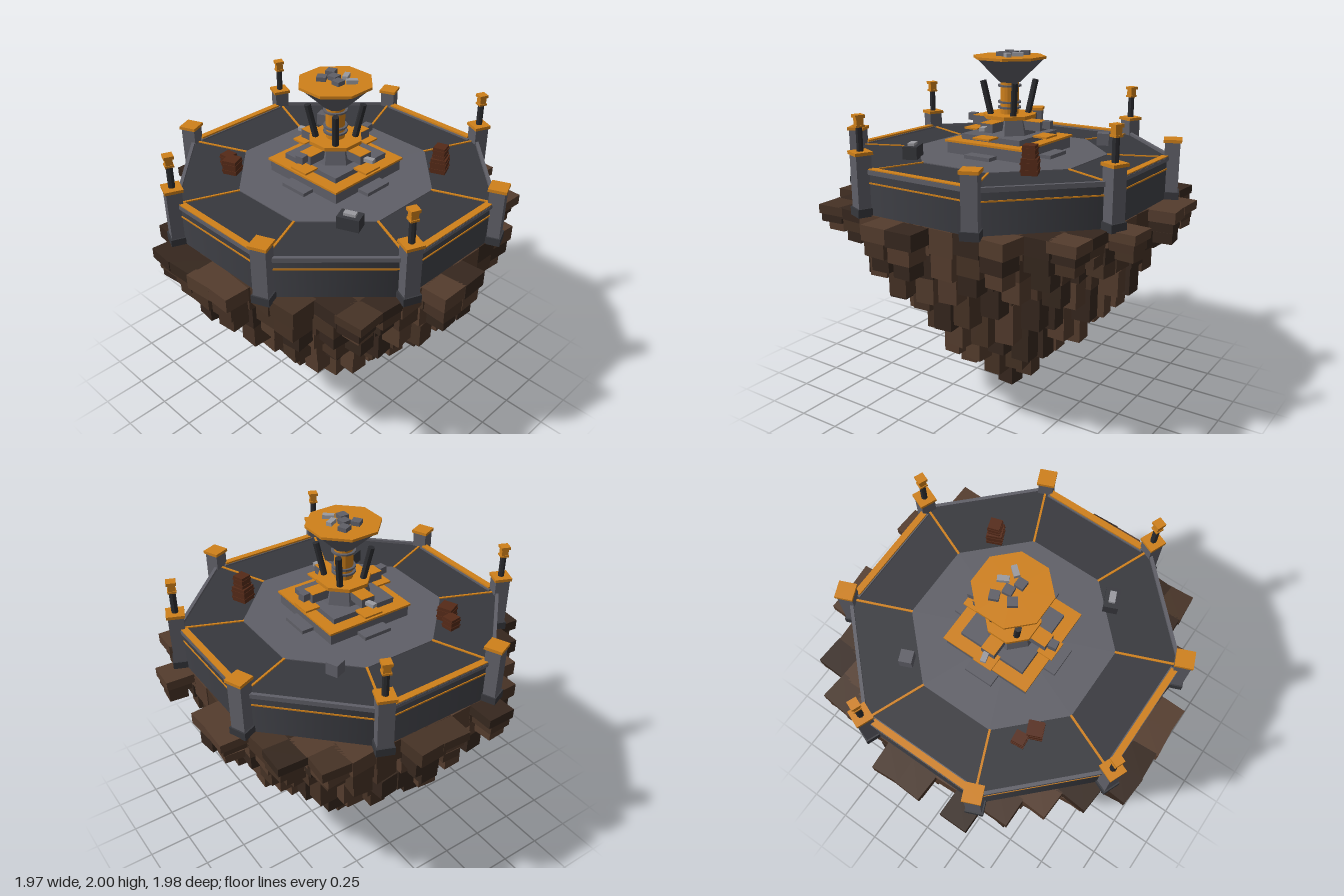
import * as THREE from 'three';

const mat = (color, flatShading = true) => new THREE.MeshStandardMaterial({ color, flatShading });
const gold = mat(0xcf801a), grey = mat(0x5f5f67), dark = mat(0x37383d), iron = mat(0x2a2b2f);
const light = mat(0x9a9aa0), crateRed = mat(0x552a18), wallMat = mat(0x3f4046, false);
const browns = [mat(0x543c2d), mat(0x36271e), mat(0x463225)];

function add(parent, name, geometry, material, x = 0, y = 0, z = 0, ry = 0) {
  const m = new THREE.Mesh(geometry, material);
  m.name = name;
  m.position.set(x, y, z);
  m.rotation.y = ry;
  parent.add(m);
  return m;
}

// Box standing between heights y0 and y1
const box = (p, name, m, w, d, y0, y1, x = 0, z = 0, ry = 0) =>
  add(p, name, new THREE.BoxGeometry(w, y1 - y0, d), m, x, (y0 + y1) / 2, z, ry);

// Octagonal prism with flat sides facing the axes
const octagon = (p, name, m, rTop, rBottom, y0, y1) =>
  add(p, name, new THREE.CylinderGeometry(rTop, rBottom, y1 - y0, 8), m, 0, (y0 + y1) / 2, 0, Math.PI / 8);

function subgroup(parent, name, ry = 0) {
  const g = new THREE.Group();
  g.name = name;
  g.rotation.y = ry;
  parent.add(g);
  return g;
}

function seeded(seed) {
  return () => {
    seed = (seed * 16807) % 2147483647;
    return seed / 2147483647;
  };
}

// Hanging rock made of stacked blocks on a grid, longest in the middle
function buildRock(root) {
  const rock = subgroup(root, 'rock');
  const rand = seeded(4711);
  const step = 0.15;
  const rim = ['-2,-6', '-1,-6', '2,-6', '-2,6', '-1,6', '0,6', '1,6', '6,0', '6,1',
    '-6,-1', '-6,0', '-6,2', '4,-5', '5,4', '-4,-5', '-5,-4'];
  const widths = [0.163, 0.135, 0.106];
  const cuts = [0, 0.34, 0.67, 1];
  for (let i = -6; i <= 6; i++) {
    for (let k = -6; k <= 6; k++) {
      const r = Math.hypot(i, k) * step;
      if (r > 0.88 && !rim.includes(`${i},${k}`)) continue;
      const x = i * step, z = k * step;
      const jitter = r === 0 ? 0 : (rand() - 0.5) * 0.12;
      const bottom = r === 0 ? 0 : Math.min(1.08, Math.max(0.06, 1.16 * r ** 1.2 + jitter));
      const depth = 1.22 - bottom;
      for (let s = 0; s < widths.length; s++) {
        const wobble = s ? 0.03 : 0.008;
        box(rock, 'rockBlock', browns[Math.floor(rand() * 3)], widths[s], widths[s],
          1.22 - cuts[s + 1] * depth, 1.22 - cuts[s] * depth,
          x + (rand() - 0.5) * wobble, z + (rand() - 0.5) * wobble, (rand() - 0.5) * (s ? 0.25 : 0.18));
      }
    }
  }
}

// Octagonal platform with parapet, trim, floor lines and rails
function buildPlatform(root) {
  const g = subgroup(root, 'platform');
  octagon(g, 'wall', wallMat, 0.895, 0.895, 1.21, 1.436);
  octagon(g, 'wallTrim', gold, 0.9, 0.9, 1.386, 1.394);
  const profile = [[0.89, 1.435], [0.905, 1.435], [0.905, 1.46], [0.885, 1.46], [0.885, 1.435]]
    .map(([r, y]) => new THREE.Vector2(r, y));
  add(g, 'parapet', new THREE.LatheGeometry(profile, 8), grey, 0, 0, 0, Math.PI / 8);
  octagon(g, 'outerFloor', dark, 0.89, 0.89, 1.43, 1.445);
  octagon(g, 'innerFloor', grey, 0.555, 0.555, 1.44, 1.45);
  for (let k = 0; k < 8; k++) {
    const spoke = subgroup(g, 'spoke', -(k + 0.5) * Math.PI / 4);
    box(spoke, 'floorLine', gold, 0.33, 0.012, 1.44, 1.451, 0.715);
  }
  for (let k = 0; k < 4; k++) {
    const side = subgroup(g, 'railSide', k * Math.PI / 2);
    box(side, 'railBase', grey, 0.045, 0.62, 1.44, 1.455, 0.815);
    box(side, 'rail', gold, 0.036, 0.6, 1.455, 1.465, 0.817);
  }
}

// Corner pillars, every second one with a lantern
function buildPillars(root) {
  for (let k = 0; k < 8; k++) {
    const corner = subgroup(root, 'pillar', -(k + 0.5) * Math.PI / 4);
    const R = 0.905;
    box(corner, 'pillarFoot', dark, 0.098, 0.098, 1.215, 1.26, R);
    box(corner, 'pillarShaft', grey, 0.082, 0.082, 1.26, 1.535, R);
    box(corner, 'pillarCap', gold, 0.098, 0.098, 1.535, 1.552, R);
    if (k % 2) continue;
    const post = new THREE.CylinderGeometry(0.018, 0.018, 0.13, 8);
    add(corner, 'lanternPost', post, iron, R, 1.615, 0);
    box(corner, 'lanternBase', gold, 0.046, 0.046, 1.675, 1.686, R);
    box(corner, 'lanternBody', gold, 0.038, 0.038, 1.686, 1.722, R);
    box(corner, 'lanternRoof', gold, 0.052, 0.052, 1.722, 1.738, R);
  }
}

// Central machine: plinth, consoles, column, struts and funnel
function buildMachine(root) {
  const g = subgroup(root, 'machine');
  box(g, 'lowerPlinth', grey, 0.5, 0.5, 1.44, 1.514);
  box(g, 'upperPlinth', grey, 0.385, 0.385, 1.51, 1.555);
  for (let k = 0; k < 4; k++) {
    const side = subgroup(g, 'machineSide', k * Math.PI / 2);
    box(side, 'step', grey, 0.1, 0.165, 1.445, 1.47, 0.27);
    box(side, 'plinthFrame', gold, 0.07, 0.45, 1.514, 1.525, 0.225, -0.035);
    box(side, 'bracketPlate', gold, 0.09, 0.11, 1.551, 1.561, 0.233);
    box(side, 'console', grey, 0.125, 0.08, 1.585, 1.633, 0.162);
    box(side, 'consoleTop', gold, 0.125, 0.08, 1.633, 1.636, 0.162);
    // Panels on the left and right, square lumps at the front and back
    if (k % 2) box(side, 'consoleBlock', grey, 0.045, 0.045, 1.6, 1.64, 0.25, 0, 0.15);
    else box(side, 'consolePanel', light, 0.055, 0.03, 1.6, 1.62, 0.25, 0, 0.25);
    // Leaning strut on the diagonal
    const diagonal = subgroup(g, 'strutMount', Math.PI / 4 + k * Math.PI / 2);
    const strut = new THREE.CylinderGeometry(0.018, 0.018, 0.19, 8);
    add(diagonal, 'strut', strut, iron, 0.127, 1.752, 0).rotation.z = -0.22;
  }
  octagon(g, 'pedestal', grey, 0.125, 0.15, 1.55, 1.64);
  octagon(g, 'pedestalTrim', gold, 0.15, 0.15, 1.64, 1.66);
  const cylinder = (name, m, r, y0, y1) =>
    add(g, name, new THREE.CylinderGeometry(r, r, y1 - y0, 16), m, 0, (y0 + y1) / 2, 0);
  cylinder('column', gold, 0.052, 1.65, 1.84);
  for (const y of [1.69, 1.72, 1.81]) cylinder('columnBand', grey, 0.066, y, y + 0.01);
  octagon(g, 'funnel', grey, 0.195, 0.06, 1.835, 1.965);
  octagon(g, 'funnelRim', gold, 0.204, 0.204, 1.963, 1.977);
  // Ore lumps on the funnel
  const lumps = [[-0.08, -0.05, 0.4], [-0.02, -0.01, 0.1], [-0.06, 0.04, 0.6], [0.04, 0.02, 0]];
  for (const [x, z, ry] of lumps) box(g, 'oreLump', grey, 0.05, 0.05, 1.975, 2, x, z, ry);
  box(g, 'brightOre', light, 0.03, 0.06, 1.975, 1.998, 0.015, -0.065, 0.5);
  box(g, 'brightOre', light, 0.03, 0.06, 1.975, 1.998, 0.08, -0.04, -0.7);
}

// Loose crates and blocks on the floor
function buildCargo(root) {
  const g = subgroup(root, 'cargo');
  const crate = (w, y0, x, z, ry) => {
    box(g, 'crate', crateRed, w, w, y0, y0 + w, x, z, ry);
    for (const t of [0.2, 0.65]) {
      box(g, 'crateBand', crateRed, w + 0.006, w + 0.006, y0 + w * t, y0 + w * (t + 0.12), x, z, ry);
    }
  };
  crate(0.065, 1.448, -0.47, 0.37, 0.1);
  crate(0.08, 1.448, -0.39, 0.41, 0.4);
  crate(0.085, 1.448, 0.41, -0.4, 0.4);
  crate(0.066, 1.533, 0.41, -0.4, 0.3);
  box(g, 'stoneBlock', grey, 0.07, 0.07, 1.445, 1.515, -0.45, -0.36, 0.4);
  box(g, 'toolChest', dark, 0.12, 0.08, 1.445, 1.515, 0.44, 0.34, 0.4);
  box(g, 'toolChestLid', light, 0.065, 0.035, 1.515, 1.53, 0.44, 0.34, 0.4);
}

export function createModel() {
  const root = new THREE.Group();
  root.name = 'floatingPlatform';
  buildRock(root);
  buildPlatform(root);
  buildPillars(root);
  buildMachine(root);
  buildCargo(root);
  return root;
}
